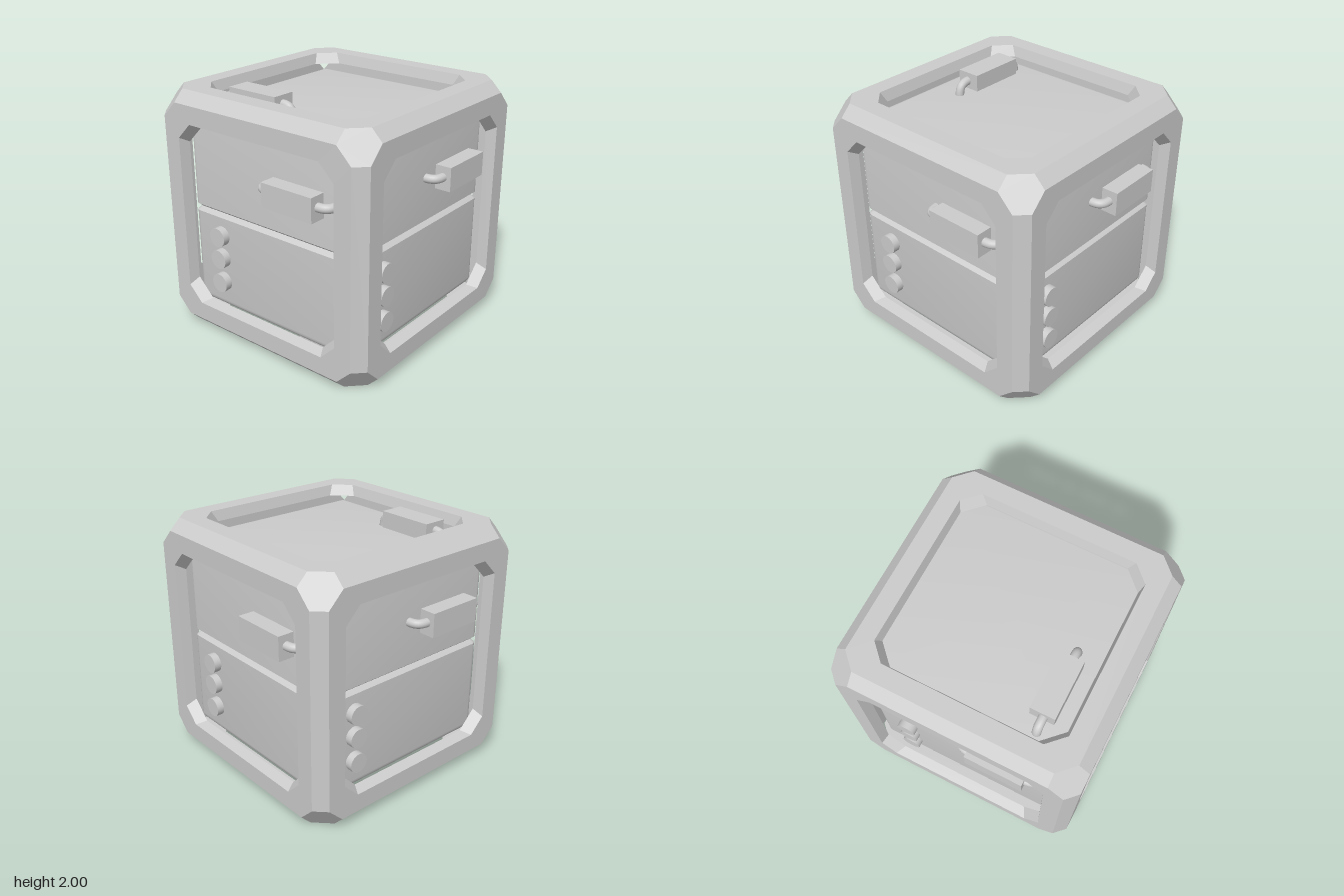
import * as THREE from 'three';
import { toCreasedNormals } from 'three/addons/utils/BufferGeometryUtils.js';

const material = new THREE.MeshStandardMaterial({ color: 0xcccccc });
const V = (x, y, z) => new THREE.Vector3(x, y, z);

function part(name, geometry) {
  const mesh = new THREE.Mesh(geometry, material);
  mesh.name = name;
  return mesh;
}

function trianglesToGeometry(points) {
  const geometry = new THREE.BufferGeometry().setFromPoints(points);
  geometry.computeVertexNormals();
  return geometry;
}

// Skin between successive closed rings with equal point counts
function loft(rings) {
  const out = [];
  for (let k = 0; k + 1 < rings.length; k++) {
    const a = rings[k], b = rings[k + 1], n = a.length;
    for (let i = 0; i < n; i++) {
      const j = (i + 1) % n;
      out.push(a[i], a[j], b[j], a[i], b[j], b[i]);
    }
  }
  return trianglesToGeometry(out);
}

// Square with cut corners: s = end of each side, h = half width
const octagon = (s, h, z) =>
  [[h, -s], [h, s], [s, h], [-s, h], [-h, s], [-h, -s], [-s, -h], [s, -h]].map(([x, y]) => V(x, y, z));

function roundedSquare(h, r, z) {
  const ring = [];
  for (let c = 0; c < 4; c++) {
    const mid = (c + 0.5) * Math.PI / 2, off = (h - r) * Math.SQRT2;
    for (let k = 0; k <= 5; k++) {
      const a = (c + k / 5) * Math.PI / 2;
      ring.push(V(Math.cos(mid) * off + Math.cos(a) * r, Math.sin(mid) * off + Math.sin(a) * r, z));
    }
  }
  return ring;
}

// Flat convex polygon facing away from the centre
function outwardPolygon(points) {
  const normal = points[1].clone().sub(points[0]).cross(points[2].clone().sub(points[0]));
  if (normal.dot(points[0]) < 0) points.reverse();
  const out = [];
  for (let i = 1; i + 1 < points.length; i++) out.push(points[0], points[i], points[i + 1]);
  return out;
}

// Chamfered edges and six-sided corner facets of the frame
const S = 0.785, H = 0.91;
function frameBevels() {
  const out = [], signs = [-1, 1];
  for (let axis = 0; axis < 3; axis++)
    for (const p of signs) for (const q of signs) {
      const at = (l, a, b) => {
        const c = [0, 0, 0];
        c[axis] = l; c[(axis + 1) % 3] = a * p; c[(axis + 2) % 3] = b * q;
        return V(...c);
      };
      out.push(...outwardPolygon([at(-S, 1, H), at(S, 1, H), at(S, H, 1), at(-S, H, 1)]));
    }
  const hexagon = [[S, H, 1], [H, S, 1], [1, S, H], [1, H, S], [H, 1, S], [S, 1, H]];
  for (const x of signs) for (const y of signs) for (const z of signs)
    out.push(...outwardPolygon(hexagon.map(c => V(c[0] * x, c[1] * y, c[2] * z))));
  return trianglesToGeometry(out);
}

// Rounded inner box with a V groove around its middle
const FLOOR = 0.83;
function innerBox() {
  const r = 0.06, profile = [];
  for (let k = 0; k <= 5; k++) {
    const a = k / 5 * Math.PI / 2;
    profile.push([r * (1 - Math.sin(a)), -FLOOR + r * (1 - Math.cos(a))]);
  }
  const upper = profile.map(([inset, z]) => [inset, -z]).reverse();
  profile.push([0, -0.03], [0.037, 0], [0, 0.03], ...upper);
  const rings = profile.map(([inset, z]) => roundedSquare(FLOOR - inset, Math.max(r - inset, 0.001), z));
  const cap = z => rings[0].map(() => V(0, 0, z));
  const geometry = loft([cap(-FLOOR), ...rings, cap(FLOOR)]);
  return toCreasedNormals(geometry, 0.6).rotateX(-Math.PI / 2);
}

// Block grip held by two bent rods
function handle(u, v) {
  const group = new THREE.Group();
  group.name = 'handle';
  const grip = part('handleGrip', new THREE.BoxGeometry(0.475, 0.195, 0.135));
  grip.position.set(u, v, 0.922);
  group.add(grip);
  for (const s of [-1, 1]) {
    const at = (x, z) => V(u + s * x, v + 0.008, z);
    const bend = new THREE.CubicBezierCurve3(at(0.332, 0.81), at(0.332, 0.895), at(0.31, 0.92), at(0.22, 0.92));
    group.add(part('handleRod', new THREE.TubeGeometry(bend, 14, 0.035, 14)));
  }
  return group;
}

function buttons() {
  const group = new THREE.Group();
  group.name = 'buttons';
  for (const y of [-0.182, -0.377, -0.59]) {
    const button = part('button', new THREE.CylinderGeometry(0.079, 0.079, 0.08, 32).rotateX(Math.PI / 2));
    button.position.set(-0.525, y, 0.85);
    group.add(button);
  }
  return group;
}

export function createModel() {
  const model = new THREE.Group();
  model.name = 'crate';
  const body = new THREE.Group();
  body.name = 'crateBody';
  body.position.y = 1;
  model.add(body);

  body.add(part('innerBox', innerBox()), part('frameBevels', frameBevels()));

  // Frame face with a tapered window, shared by all six sides
  const rim = loft([octagon(S, H, 1), octagon(0.634, 0.762, 1), octagon(0.588, 0.737, 0.915), octagon(S, H, 0.915)]);

  // Per side: right, up and outward axes, then handle position
  const sides = [
    ['front', V(1, 0, 0), V(0, 1, 0), 0.318, 0.377],
    ['left', V(0, 0, -1), V(0, 1, 0), 0.348, 0.377],
    ['back', V(-1, 0, 0), V(0, 1, 0), 0.318, 0.377],
    ['right', V(0, 0, 1), V(0, 1, 0), 0.348, 0.377],
    ['top', V(-1, 0, 0), V(0, 0, 1), 0.335, 0.53],
    ['bottom', V(1, 0, 0), V(0, 0, 1), 0.335, 0.53],
  ];
  for (const [name, right, up, u, v] of sides) {
    const side = new THREE.Group();
    side.name = name + 'Side';
    const basis = new THREE.Matrix4().makeBasis(right, up, right.clone().cross(up));
    side.quaternion.setFromRotationMatrix(basis);
    side.add(part('frameRim', rim), handle(u, v));
    if (up.y === 1) side.add(buttons());
    body.add(side);
  }
  return model;
}
